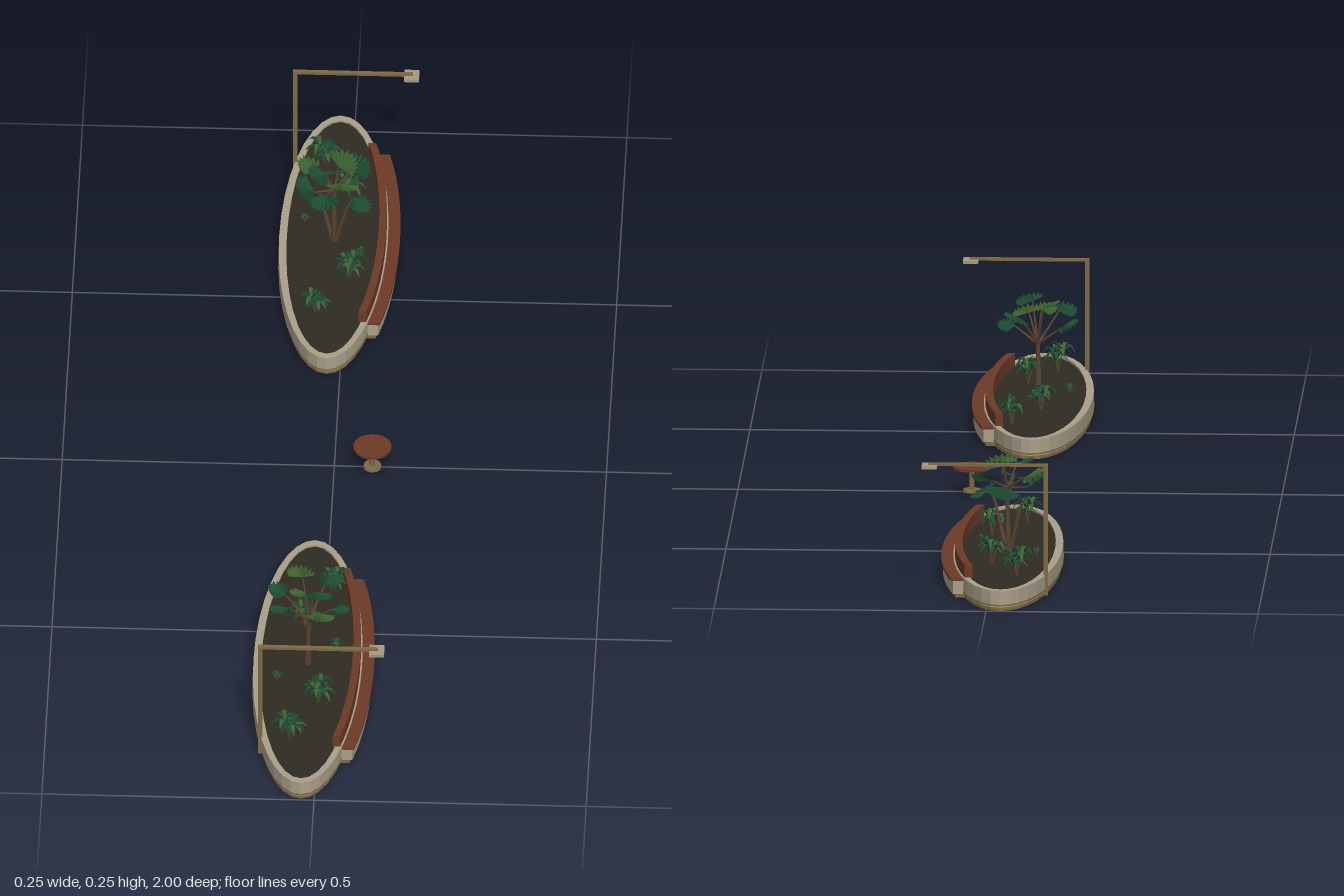
import * as THREE from 'three';

const mat = (name, color, extra = {}) => Object.assign(new THREE.MeshStandardMaterial({ color, ...extra }), { name });

export function createModel() {
  const stone = mat('stone', 0xaaa08a, { flatShading: true });
  const bronze = mat('bronze', 0x7d6a45, { flatShading: true });
  const lampGlass = mat('lamp panel', 0xa59a80);
  const soil = mat('soil', 0x2d2b21);
  const wood = mat('wood', 0x6e3a28);
  const bark = mat('bark', 0x5a4330);
  const leafDark = mat('dark leaf', 0x1d4a30, { side: THREE.DoubleSide, flatShading: true });
  const leafLight = mat('light leaf', 0x3c5f30, { side: THREE.DoubleSide, flatShading: true });

  const RX = 0.1, RZ = 0.363;
  const root = new THREE.Group();
  root.name = 'plazaPlanters';

  let seed = 7;
  const rnd = () => ((seed = (seed * 16807) % 2147483647) / 2147483647);

  function add(parent, name, geo, m, x = 0, y = 0, z = 0) {
    const mesh = new THREE.Mesh(geo, m);
    mesh.name = name;
    mesh.position.set(x, y, z);
    parent.add(mesh);
    return mesh;
  }

  // Extrudes a plan shape upward from y0 to y1
  function slab(shape, y0, y1) {
    const g = new THREE.ExtrudeGeometry(shape, { depth: y1 - y0, bevelEnabled: false, curveSegments: 1 });
    return g.rotateX(-Math.PI / 2).translate(0, y0, 0);
  }

  function ellipsePoints(inset, n = 36) {
    return Array.from({ length: n }, (_, i) => {
      const a = (i / n) * Math.PI * 2;
      return new THREE.Vector2((RX - inset) * Math.cos(a), (RZ - inset) * Math.sin(a));
    });
  }

  function oval(inset, hole) {
    const s = new THREE.Shape(ellipsePoints(inset));
    if (hole) s.holes.push(new THREE.Path(ellipsePoints(hole)));
    return s;
  }

  // Curved strip following the +x side of the oval
  function strip(inner, outer, halfZ = 0.252, n = 16) {
    const edge = (off) => Array.from({ length: n + 1 }, (_, i) => {
      const z = -halfZ + (2 * halfZ * i) / n;
      return new THREE.Vector2(RX * Math.sqrt(1 - (z / RZ) ** 2) + off, z);
    });
    return new THREE.Shape([...edge(outer), ...edge(inner).reverse()]);
  }

  // Tapered limb between two points
  function limb(parent, name, a, b, r0, r1) {
    const d = b.clone().sub(a);
    const m = add(parent, name, new THREE.CylinderGeometry(r1, r0, d.length(), 6), bark);
    m.position.copy(a).addScaledVector(d, 0.5);
    m.quaternion.setFromUnitVectors(new THREE.Vector3(0, 1, 0), d.normalize());
  }

  // Pleated fan leaf spreading along +x from its stalk
  function fanGeometry(r, spread = 2.6, blades = 9) {
    const pos = [], idx = [];
    pos.push(0, 0, 0);
    for (let i = 0; i <= blades * 2; i++) {
      const a = -spread / 2 + (spread * i) / (blades * 2);
      const rr = r * (i % 2 ? 1 : 0.84) * (0.8 + 0.2 * Math.cos(a));
      pos.push(rr * Math.cos(a), (i % 2 ? 0.05 : -0.08) * r, rr * Math.sin(a));
      if (i) idx.push(0, i + 1, i);
    }
    const g = new THREE.BufferGeometry();
    g.setAttribute('position', new THREE.Float32BufferAttribute(pos, 3));
    g.setIndex(idx);
    g.computeVertexNormals();
    return g;
  }

  // Arching strap leaf along +x
  function strapGeometry(len, width, rise) {
    const g = new THREE.PlaneGeometry(len, width, 4, 1).rotateX(-Math.PI / 2).translate(len / 2, 0, 0);
    const p = g.attributes.position;
    for (let i = 0; i < p.count; i++) {
      const t = p.getX(i) / len;
      p.setY(i, rise * (2.6 * t - 2.5 * t * t));
      p.setZ(i, p.getZ(i) * (0.25 + 3 * t * (1 - t)));
    }
    g.computeVertexNormals();
    return g;
  }

  function shrub(parent, x, z, s) {
    const g = new THREE.Group();
    g.name = 'shrub';
    g.position.set(x, 0.034, z);
    parent.add(g);
    for (let k = 0; k < 3; k++) {
      const a = k * 2.1 + x * 40;
      const top = new THREE.Vector3(Math.cos(a) * 0.008, 0.022 + 0.007 * k, Math.sin(a) * 0.008).multiplyScalar(s);
      limb(g, 'shrubStem', new THREE.Vector3(), top, 0.002, 0.0013);
      for (let i = 0; i < 7; i++) {
        const leaf = add(g, 'shrubLeaf', strapGeometry(0.026 * s, 0.008 * s, (0.012 + 0.014 * rnd()) * s),
          (i + k) % 3 ? leafDark : leafLight);
        leaf.position.copy(top);
        leaf.rotation.y = (i / 7) * Math.PI * 2 + k * 0.4;
      }
    }
  }

  // Each crown entry: x, y, z of the fan stalk, fan radius, tilt
  function tree(parent, forks, crown, name) {
    const g = new THREE.Group();
    g.name = name;
    parent.add(g);
    const tops = forks.map(([x0, x, y, z, r]) => {
      const top = new THREE.Vector3(x, y, z);
      limb(g, 'trunk', new THREE.Vector3(x0, 0.033, z * 0.3), top, r, r * 0.6);
      return top;
    });
    crown.forEach(([x, y, z, r, tilt], i) => {
      const p = new THREE.Vector3(x, y, z);
      const from = tops.reduce((a, b) => (a.distanceTo(p) < b.distanceTo(p) ? a : b));
      limb(g, 'branch', from, p, 0.003, 0.0015);
      const fan = add(g, 'fanLeaf', fanGeometry(r), i % 3 === 1 ? leafLight : leafDark, x, y, z);
      fan.rotation.order = 'YZX';
      fan.rotation.set(0.25 * (i % 2 ? 1 : -1), Math.atan2(-z, x), tilt);
    });
  }

  function planter(side) {
    const g = new THREE.Group();
    g.name = side > 0 ? 'frontPlanter' : 'backPlanter';
    g.position.set(-0.025, 0, 0.635 * side);
    root.add(g);

    // Oval bed
    add(g, 'plinth', slab(oval(0.002), 0, 0.007), bronze);
    add(g, 'wall', slab(oval(0, 0.014), 0.007, 0.038), stone);
    add(g, 'trimBand', slab(oval(-0.001, 0.002), 0.009, 0.012), bronze);
    add(g, 'soilBed', slab(oval(0.0138), 0.007, 0.034), soil);

    // Curved bench
    add(g, 'benchPlinth', slab(strip(-0.01, 0.014), 0, 0.007), bronze);
    add(g, 'benchBase', slab(strip(-0.005, 0.019), 0.007, 0.031), stone);
    add(g, 'benchSeat', slab(strip(0, 0.022), 0.031, 0.036), wood);
    add(g, 'benchBack', slab(strip(-0.017, -0.003), 0.036, 0.062), wood);

    // Lamp
    const lz = 0.225 * side;
    add(g, 'lampPole', new THREE.BoxGeometry(0.008, 0.247, 0.008), bronze, -0.079, 0.1235, lz);
    add(g, 'lampArm', new THREE.BoxGeometry(0.215, 0.005, 0.008), bronze, 0.0295, 0.2445, lz);
    add(g, 'lampHead', new THREE.BoxGeometry(0.028, 0.006, 0.03), lampGlass, 0.135, 0.241, lz);

    // Shrubs
    const spots = side > 0
      ? [[-0.025, 0.225, 1.05], [0.025, 0.115, 1], [-0.01, -0.11, 1], [0.04, -0.22, 0.9]]
      : [[-0.025, -0.222, 1.05], [0.025, -0.125, 1], [0.035, 0.115, 1], [-0.025, 0.225, 0.95]];
    spots.forEach(([x, z, s]) => shrub(g, x, z, s));
    [[-0.055, 0.05], [0.05, -0.05]].forEach(([x, z]) => shrub(g, x, z * side, 0.35));
  }

  planter(1);
  planter(-1);
  const [front, back] = root.children;

  // Slender tree with flat, spreading fans
  tree(front, [[0, 0.002, 0.135, 0.004, 0.0065]], [
    [0.012, 0.213, 0.018, 0.036, 0.12], [-0.01, 0.215, -0.024, 0.036, 0.1],
    [0.03, 0.19, -0.035, 0.038, 0.2], [-0.035, 0.19, 0.035, 0.038, 0.2],
    [0.02, 0.185, 0.045, 0.036, 0.15], [-0.042, 0.172, -0.025, 0.038, 0.35],
    [0.045, 0.168, 0.01, 0.034, 0.1], [-0.004, 0.2, 0.002, 0.032, 0.2],
  ], 'slenderTree');

  // Multi-stemmed tree with steep, broad fans
  tree(back, [
    [-0.004, -0.025, 0.125, -0.015, 0.005], [0.004, 0.025, 0.12, 0.018, 0.005], [0, 0.002, 0.15, 0.004, 0.006],
  ], [
    [-0.035, 0.15, 0.012, 0.044, 0.6], [-0.032, 0.175, -0.02, 0.042, 0.35],
    [0.035, 0.145, 0.02, 0.042, -0.4], [0.03, 0.17, -0.025, 0.042, 0.45],
    [0.012, 0.185, 0.03, 0.042, 0.3], [-0.01, 0.165, 0.035, 0.042, -0.3],
    [0.006, 0.16, -0.035, 0.042, -0.4], [0.008, 0.195, -0.008, 0.04, 0.3], [-0.014, 0.19, 0.01, 0.038, 0.3],
  ], 'broadTree');

  // Round table
  const table = new THREE.Group();
  table.name = 'table';
  table.position.x = 0.07;
  root.add(table);
  add(table, 'tableTop', new THREE.CylinderGeometry(0.035, 0.035, 0.005, 28), wood, 0, 0.046, 0);
  add(table, 'tableStem', new THREE.CylinderGeometry(0.005, 0.005, 0.04, 12), bronze, 0, 0.024, 0);
  add(table, 'tableFoot', new THREE.CylinderGeometry(0.016, 0.017, 0.005, 24), bronze, 0, 0.0025, 0);

  return root;
}
